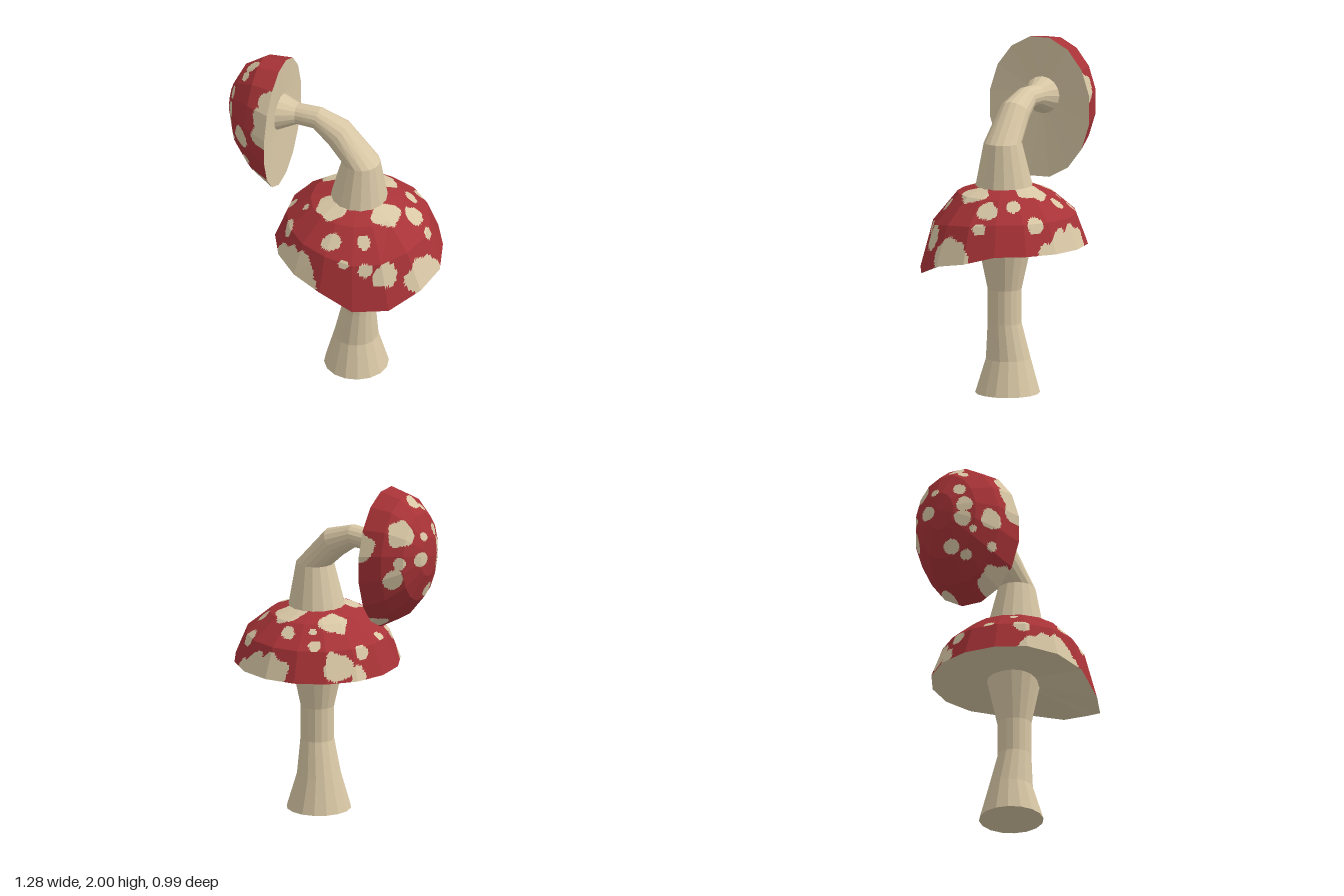
import * as THREE from 'three';

const SIDES = 16;
const V = (x, y, z) => new THREE.Vector3(x, y, z);

// One closed ring of points around centre c, in the plane spanned by u and v
function ring(c, u, v, ru, rv, phase = 0) {
  return Array.from({ length: SIDES }, (_, j) => {
    const a = ((j + phase) / SIDES) * Math.PI * 2;
    return c.clone().addScaledVector(u, Math.cos(a) * ru).addScaledVector(v, Math.sin(a) * rv);
  });
}

// Triangles joining consecutive rings
function skin(rings) {
  const tris = [];
  for (let i = 0; i < rings.length - 1; i++) {
    for (let j = 0; j < SIDES; j++) {
      const k = (j + 1) % SIDES;
      const [a, b, c, d] = [rings[i][j], rings[i][k], rings[i + 1][k], rings[i + 1][j]];
      if (a.distanceTo(b) > 1e-5) tris.push([a, b, c]);
      if (c.distanceTo(d) > 1e-5) tris.push([a, c, d]);
    }
  }
  return tris;
}

// Faceted mesh from a list of triangles
function facetMesh(name, tris, material) {
  const geo = new THREE.BufferGeometry().setFromPoints(tris.flat());
  geo.computeVertexNormals();
  const mesh = new THREE.Mesh(geo, material);
  mesh.name = name;
  return mesh;
}

// Cuts each facet into small coplanar triangles and sorts them into spots and skin
function splitSpots(tris, spots, n = 13) {
  const pieces = [];
  const put = (...t) => {
    pieces.push({ t, mid: t[0].clone().add(t[1]).add(t[2]).divideScalar(3) });
  };
  for (const [a, b, c] of tris) {
    const e1 = b.clone().sub(a), e2 = c.clone().sub(a);
    const at = (i, j) => a.clone().addScaledVector(e1, i / n).addScaledVector(e2, j / n);
    for (let i = 0; i < n; i++) {
      for (let j = 0; j < n - i; j++) {
        put(at(i, j), at(i + 1, j), at(i, j + 1));
        if (i + j < n - 1) put(at(i + 1, j), at(i + 1, j + 1), at(i, j + 1));
      }
    }
  }
  // Move every spot centre onto the surface
  const placed = spots.map(([x, y, z, r]) => {
    const c = V(x, y, z);
    const nearest = pieces.reduce((m, p) => (
      p.mid.distanceToSquared(c) < m.mid.distanceToSquared(c) ? p : m));
    return { c: nearest.mid, r };
  });
  const inSpot = (p) => placed.some(({ c, r }) => {
    const wobble = 1 + 0.12 * Math.sin(45 * p.x + 30 * p.y + 20 * c.x) + 0.08 * Math.sin(60 * p.z + 50 * c.y);
    return p.distanceTo(c) < r * wobble;
  });
  const spotted = [], plain = [];
  for (const { t, mid } of pieces) (inSpot(mid) ? spotted : plain).push(t);
  return { spotted, plain };
}

// Cap made of red skin, pale spots and a pale underside
function buildCap(name, domeRings, hub, spots, red, cream) {
  const cap = new THREE.Group();
  cap.name = name;
  const { spotted, plain } = splitSpots(skin(domeRings), spots);
  const centre = domeRings[0].map(() => hub.clone());
  cap.add(
    facetMesh(name + 'Skin', plain, red),
    facetMesh(name + 'Spots', spotted, cream),
    facetMesh(name + 'Underside', skin([centre, domeRings[0]]), cream),
  );
  return cap;
}

export function createModel() {
  const red = new THREE.MeshStandardMaterial({ color: 0xa83337 });
  red.name = 'capRed';
  const cream = new THREE.MeshStandardMaterial({ color: 0xd8c7a5, side: THREE.DoubleSide });
  cream.name = 'stemCream';

  const model = new THREE.Group();
  model.name = 'mushroom';
  const up = V(0, 1, 0);
  const side = V(0.505, 0, 0.863);    // across the bent stem
  const facing = V(-0.863, 0, 0.505); // direction the upper cap points

  // Stems: each row is x, y, z, radius
  const stem = (name, rows) => {
    const centres = rows.map(([x, y, z]) => V(x, y, z));
    const rings = rows.map(([, y, , r], i) => {
      const t = y < 1.5 ? up.clone()
        : i === rows.length - 1 ? facing.clone()
        : centres[i + 1].clone().sub(centres[i - 1]).normalize();
      const n = t.clone().cross(side).normalize();
      return ring(centres[i], side, n, r, r);
    });
    model.add(facetMesh(name, skin(rings), cream));
  };
  stem('lowerStem', [
    [0.097, 0, -0.016, 0], [0.097, 0, -0.016, 0.187], [0.093, 0.2, -0.017, 0.129],
    [0.118, 0.41, -0.015, 0.098], [0.118, 0.61, -0.015, 0.098], [0.116, 0.9, -0.015, 0.16],
  ]);
  stem('upperStem', [
    [0.12, 1.17, -0.015, 0.175], [0.135, 1.47, -0.02, 0.11], [0.005, 1.62, 0.04, 0.09],
    [-0.12, 1.682, 0.095, 0.066], [-0.23, 1.675, 0.15, 0.062], [-0.325, 1.66, 0.205, 0.11],
  ]);

  // Lower cap: rows of radius, height and share of the drooping, flared rim
  const droop = [0.08, 0.045, 0, 0, 0, 0, 0, 0, 0, 0, 0, 0, 0.02, 0.06, 0.155, 0.155];
  const flare = [0.085, 0.06, 0.01, 0, 0, 0, 0, 0, 0, 0, 0, 0, 0, 0, 0.04, 0.075];
  const lowerRings = [
    [0.482, 0.885, 1], [0.415, 1.06, 0.35], [0.275, 1.18, 0], [0.15, 1.225, 0], [0, 1.23, 0],
  ].map(([r, y, share]) => Array.from({ length: SIDES }, (_, j) => {
    const a = (j / SIDES) * Math.PI * 2, rj = r * (1 + flare[j] * share);
    return V(0.115 + rj * Math.cos(a), y - droop[j] * share,
      -0.015 - rj * Math.sin(a) - 0.4 * flare[j] * share);
  }));
  // Spots: x, y, z, radius
  const lowerSpots = [
    [0.08, 1.2, -0.22, 0.09], [-0.14, 1.18, -0.05, 0.085], [0.11, 1.21, 0.17, 0.095],
    [0.35, 1.2, -0.03, 0.085], [-0.05, 1.14, -0.3, 0.042], [-0.22, 1.08, -0.21, 0.037],
    [-0.14, 1.14, -0.18, 0.022], [0.4, 1.13, -0.21, 0.06], [0.26, 1.15, -0.28, 0.04],
    [0.2, 1.06, -0.42, 0.052], [-0.31, 1.03, 0.05, 0.045], [0.25, 1.1, 0.31, 0.055],
    [0.4, 1.12, 0.18, 0.038], [0.38, 1.02, 0.31, 0.033], [-0.06, 1.05, 0.37, 0.05],
    [-0.05, 1.15, 0.24, 0.022], [-0.2, 1.08, 0.22, 0.03], [0.58, 0.94, 0.14, 0.075],
    [0.51, 0.99, 0.25, 0.042], [0.5, 1.05, -0.26, 0.042],
    // patches along the rim
    [0.62, 0.88, -0.1, 0.105], [0.61, 0.87, -0.18, 0.075],
    [-0.04, 0.9, 0.44, 0.08], [0.04, 0.9, 0.45, 0.11], [0.13, 0.9, 0.46, 0.11], [0.22, 0.85, 0.45, 0.065],
    [0.05, 0.91, -0.49, 0.11], [-0.1, 0.92, -0.44, 0.11], [0.17, 0.88, -0.49, 0.06],
    [-0.33, 0.97, -0.12, 0.09], [-0.36, 0.91, 0, 0.06],
  ];
  model.add(buildCap('lowerCap', lowerRings, V(0.115, 0.885, -0.015), lowerSpots, red, cream));

  // Upper cap: rows of depth and scale of an upright oval, drifting up and to one side
  const upperRings = [[0, 1], [0.14, 0.88], [0.25, 0.63], [0.312, 0.28], [0.325, 0]].map(([d, s]) => {
    const c = V(-0.305, 1.592 + 0.2 * d, 0.205).addScaledVector(facing, d).addScaledVector(side, -0.14 * d);
    return ring(c, side, up, 0.314 * s, 0.416 * s, 0.5);
  });
  const upperSpots = [
    [-0.52, 1.79, 0.41, 0.035], [-0.46, 1.93, 0.375, 0.03], [-0.5, 1.68, 0.445, 0.048],
    [-0.51, 1.6, 0.44, 0.05], [-0.35, 1.6, 0.5, 0.06], [-0.45, 1.53, 0.47, 0.024],
    [-0.33, 1.44, 0.475, 0.033], [-0.53, 1.44, 0.355, 0.045], [-0.47, 1.38, 0.4, 0.035],
    [-0.62, 1.66, 0.25, 0.045], [-0.44, 1.93, 0.29, 0.045], [-0.57, 1.8, 0.15, 0.075],
    [-0.58, 1.55, 0.1, 0.06], [-0.62, 1.65, 0.12, 0.035], [-0.58, 1.77, 0.28, 0.025],
    // patches along the rim
    [-0.26, 1.26, 0.37, 0.1], [-0.18, 1.68, 0.45, 0.08], [-0.19, 1.77, 0.42, 0.08], [-0.22, 1.87, 0.36, 0.06],
    [-0.46, 1.73, -0.04, 0.085], [-0.38, 1.26, 0.1, 0.065],
  ];
  model.add(buildCap('upperCap', upperRings, V(-0.322, 1.66, 0.215), upperSpots, red, cream));

  return model;
}
